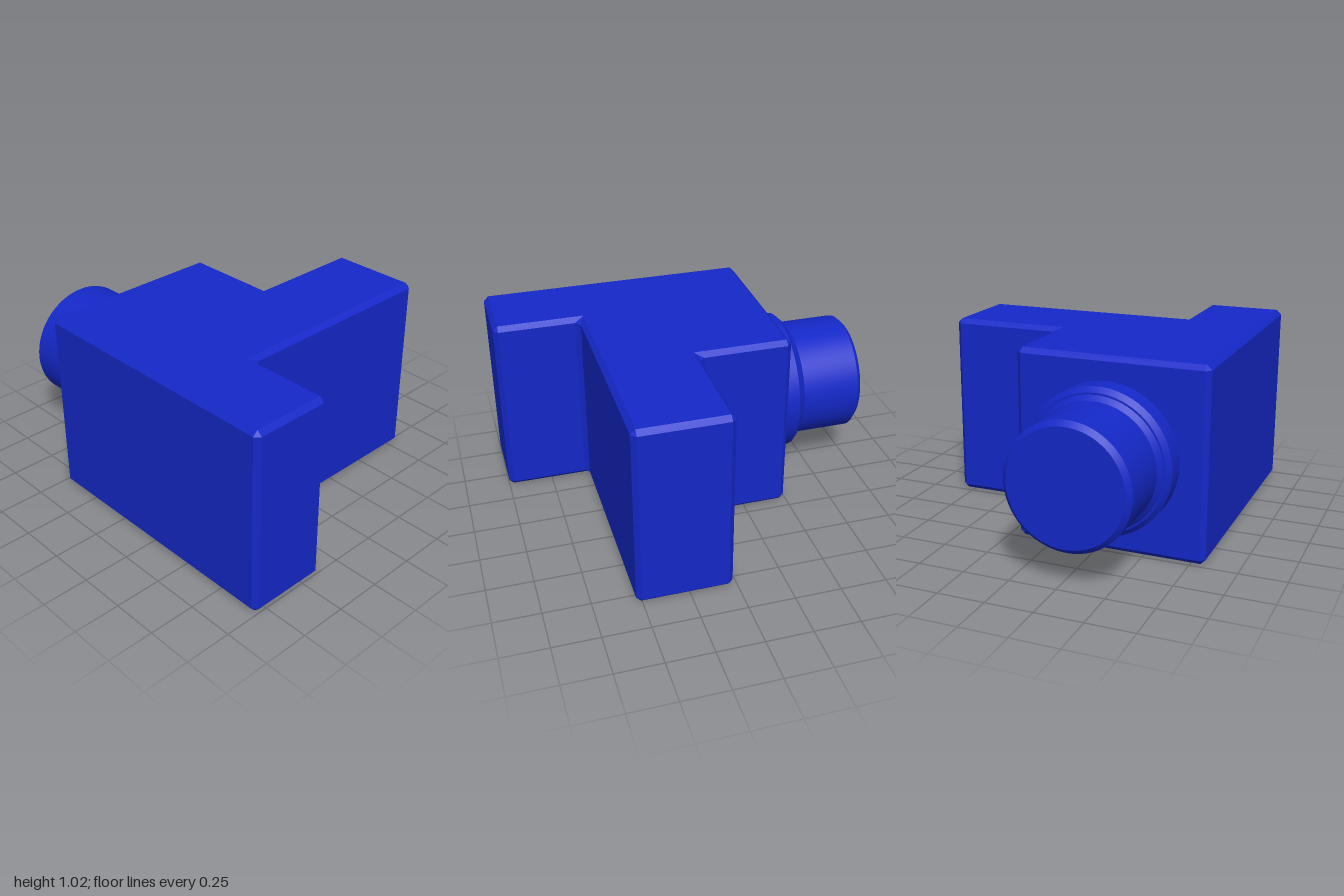
import * as THREE from 'three';
import { toCreasedNormals } from 'three/addons/utils/BufferGeometryUtils.js';

const H = 1.025; // body height
const C = 0.026; // chamfer width

// Prism over an (x, z) outline with every edge and corner chamfered
function chamferedPrism(corners, height, c) {
  const inset = [], outer = [];
  corners.forEach((p, i) => {
    const prev = corners.at(i - 1), next = corners[(i + 1) % corners.length];
    const dIn = p.clone().sub(prev).normalize();
    const dOut = next.clone().sub(p).normalize();
    const inward = new THREE.Vector2(dIn.y + dOut.y, -dIn.x - dOut.x);
    const q = p.clone().addScaledVector(inward, c);
    inset.push(q, q);
    outer.push(p.clone().addScaledVector(dIn, -c), p.clone().addScaledVector(dOut, c));
  });
  const rings = [[inset, 0], [outer, c], [outer, height - c], [inset, height]]
    .map(([ring, y]) => ring.map((p) => new THREE.Vector3(p.x, y, p.y)));

  const pos = [];
  const tri = (a, b, d) => {
    if (a.equals(b) || b.equals(d) || a.equals(d)) return;
    for (const v of [a, b, d]) pos.push(v.x, v.y, v.z);
  };
  // Walls and chamfer bands
  for (let r = 0; r < 3; r++) {
    const lo = rings[r], hi = rings[r + 1];
    for (let i = 0; i < lo.length; i++) {
      const j = (i + 1) % lo.length;
      tri(lo[i], lo[j], hi[j]);
      tri(lo[i], hi[j], hi[i]);
    }
  }
  // Top and bottom caps
  const flat = corners.map((_, i) => new THREE.Vector2(inset[2 * i].x, -inset[2 * i].y));
  for (const [a, b, d] of THREE.ShapeUtils.triangulateShape(flat, [])) {
    tri(rings[3][2 * a], rings[3][2 * b], rings[3][2 * d]);
    tri(rings[0][2 * a], rings[0][2 * d], rings[0][2 * b]);
  }
  const geo = new THREE.BufferGeometry();
  geo.setAttribute('position', new THREE.Float32BufferAttribute(pos, 3));
  geo.computeVertexNormals();
  return geo;
}

export function createModel() {
  const group = new THREE.Group();
  group.name = 'fitting';
  const material = new THREE.MeshStandardMaterial({ color: 0x1428c8 });

  // Block body: front plate, rear arm and side shoulder in one outline
  const outline = [
    [-0.49, 0.825], [1, 0.825], [1, 0.38], [0.53, 0.38],
    [0.53, -0.825], [0.02, -0.825], [0.02, -0.197], [-0.49, -0.197],
  ].map(([x, z]) => new THREE.Vector2(x, z));
  const body = new THREE.Mesh(chamferedPrism(outline, H, C), material);
  body.name = 'body';
  group.add(body);

  // Round side stub with stepped collar, turned about the x axis
  const profile = [
    [0, -1], [0.301, -1], [0.327, -0.974], [0.327, -0.65], [0.352, -0.624],
    [0.362, -0.624], [0.388, -0.598], [0.388, -0.48], [0, -0.48],
  ].map(([r, x]) => new THREE.Vector2(r, x));
  const lathe = new THREE.LatheGeometry(profile, 64).rotateZ(-Math.PI / 2);
  const stub = new THREE.Mesh(toCreasedNormals(lathe, 0.5), material);
  stub.name = 'sideStub';
  stub.position.set(0, H / 2, 0.296);
  group.add(stub);

  return group;
}
